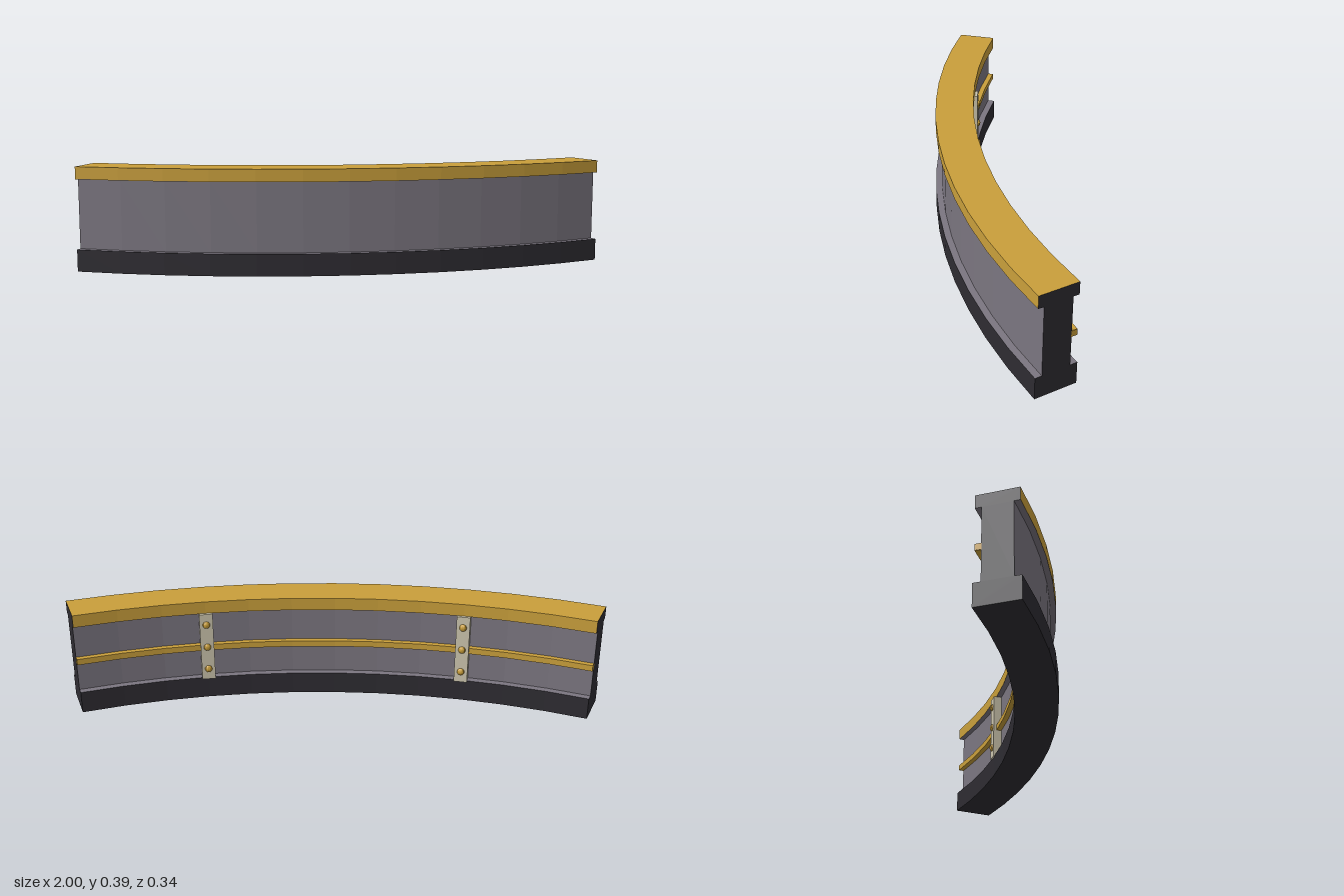
import * as THREE from 'three';

const HALF = Math.PI / 8;      // half of the 45 degree arc
const SEGMENTS = 12;
const CENTRE_Z = -2.441;       // centre of curvature

const paint = (color) => new THREE.MeshStandardMaterial({ color, flatShading: true, side: THREE.DoubleSide });

export function createModel() {
  const model = new THREE.Group();
  const arc = new THREE.Group();
  arc.name = 'curvedWall';
  arc.position.z = CENTRE_Z;
  model.add(arc);

  const grey = paint(0x7b7680);
  const dark = paint(0x2e2c32);
  const gold = paint(0xc99f3b);
  const ivory = paint(0xcdc6ae);

  const add = (name, geometry, material, parent = arc) => {
    const mesh = new THREE.Mesh(geometry, material);
    mesh.name = name;
    parent.add(mesh);
    return mesh;
  };
  const toPoints = (list) => list.map(([r, y]) => new THREE.Vector2(r, y));

  // Sweeps a [radius, height] profile along the arc
  const sweep = (name, list, material) =>
    add(name, new THREE.LatheGeometry(toPoints(list), SEGMENTS, -HALF, 2 * HALF), material);

  // Closes both ends of the arc with a flat section
  const closeEnds = (name, list, material, overlap = 0) => {
    for (const side of [-1, 1]) {
      const end = add(name, new THREE.ShapeGeometry(new THREE.Shape(toPoints(list))), material);
      end.rotation.y = side * (HALF + overlap) - Math.PI / 2;
    }
  };

  const base = { r0: 2.456, r1: 2.613, y0: 0, y1: 0.083 };
  const wall = { r0: 2.483, r1: 2.588 };
  const cap = { r0: 2.461, r1: 2.609, y0: 0.346, y1: 0.393 };

  // Dark plinth: inner side, underside, outer side
  sweep('base', [[base.r0, base.y1], [base.r0, base.y0], [base.r1, base.y0], [base.r1, base.y1]], dark);

  // Grey wall faces, including the ledge of the plinth and the underside of the cap
  const outerWall = [[base.r1, base.y1], [wall.r1, base.y1], [wall.r1, cap.y0], [cap.r1, cap.y0]];
  const innerWall = [[cap.r0, cap.y0], [wall.r0, cap.y0], [wall.r0, base.y1], [base.r0, base.y1]];
  sweep('outerWall', outerWall, grey);
  sweep('innerWall', innerWall, grey);

  // Gold coping
  const capProfile = [[cap.r1, cap.y0], [cap.r1, cap.y1], [cap.r0, cap.y1], [cap.r0, cap.y0]];
  sweep('cap', capProfile, gold);

  // Dark end faces with the full I-shaped section
  closeEnds('endFace', [
    [base.r0, base.y0], [base.r1, base.y0], ...outerWall,
    [cap.r1, cap.y1], [cap.r0, cap.y1], ...innerWall,
  ], dark);

  // Gold rail along the inner wall
  const rail = [[2.485, 0.194], [2.485, 0.217], [2.462, 0.217], [2.462, 0.194]];
  sweep('rail', [...rail, rail[0]], gold);
  closeEnds('railEnd', rail, gold, 0.0003);

  // Two upright straps, each with three rivets
  for (const side of [-1, 1]) {
    const strap = new THREE.Group();
    strap.name = side > 0 ? 'leftStrap' : 'rightStrap';
    strap.rotation.y = side * HALF / 2;
    arc.add(strap);

    add('strapPlate', new THREE.BoxGeometry(0.05, 0.268, 0.036), ivory, strap)
      .position.set(0, 0.213, 2.467);

    for (const y of [0.122, 0.213, 0.304]) {
      const rivet = add('rivet', new THREE.SphereGeometry(0.014, 10, 8), gold, strap);
      rivet.position.set(0, y, 2.449);
      rivet.scale.z = 0.75;
    }
  }
  return model;
}
